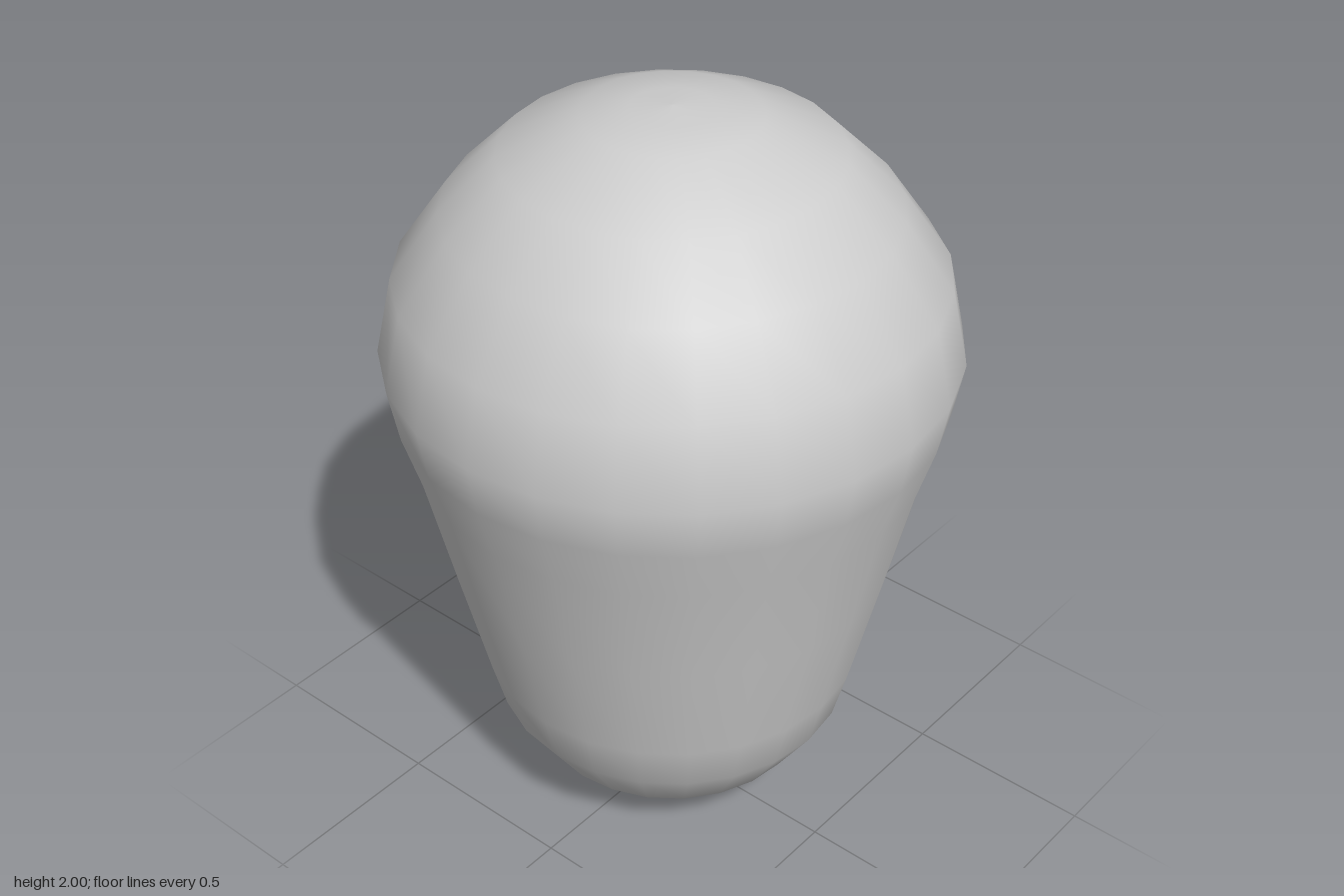
import * as THREE from 'three';

export function createModel() {
  const model = new THREE.Group();
  const grey = new THREE.MeshStandardMaterial({ color: 0xcccccc });
  grey.name = 'light grey';

  // Profile from the rounded base, up the tapered stem, to the domed cap
  const profile = [
    [0, 0], [0.1, 0.012], [0.21, 0.045], [0.37, 0.17], [0.465, 0.315],
    [0.5, 0.45], [0.575, 0.77], [0.645, 1.08], [0.69, 1.23], [0.715, 1.37],
    [0.672, 1.57], [0.55, 1.745], [0.41, 1.885], [0.215, 1.978], [0.1, 1.994], [0, 2],
  ].map(([r, y]) => new THREE.Vector2(r, y));

  // Rounded bulb body
  const body = new THREE.Mesh(new THREE.LatheGeometry(profile, 24), grey);
  body.name = 'bulbBody';
  model.add(body);
  return model;
}
